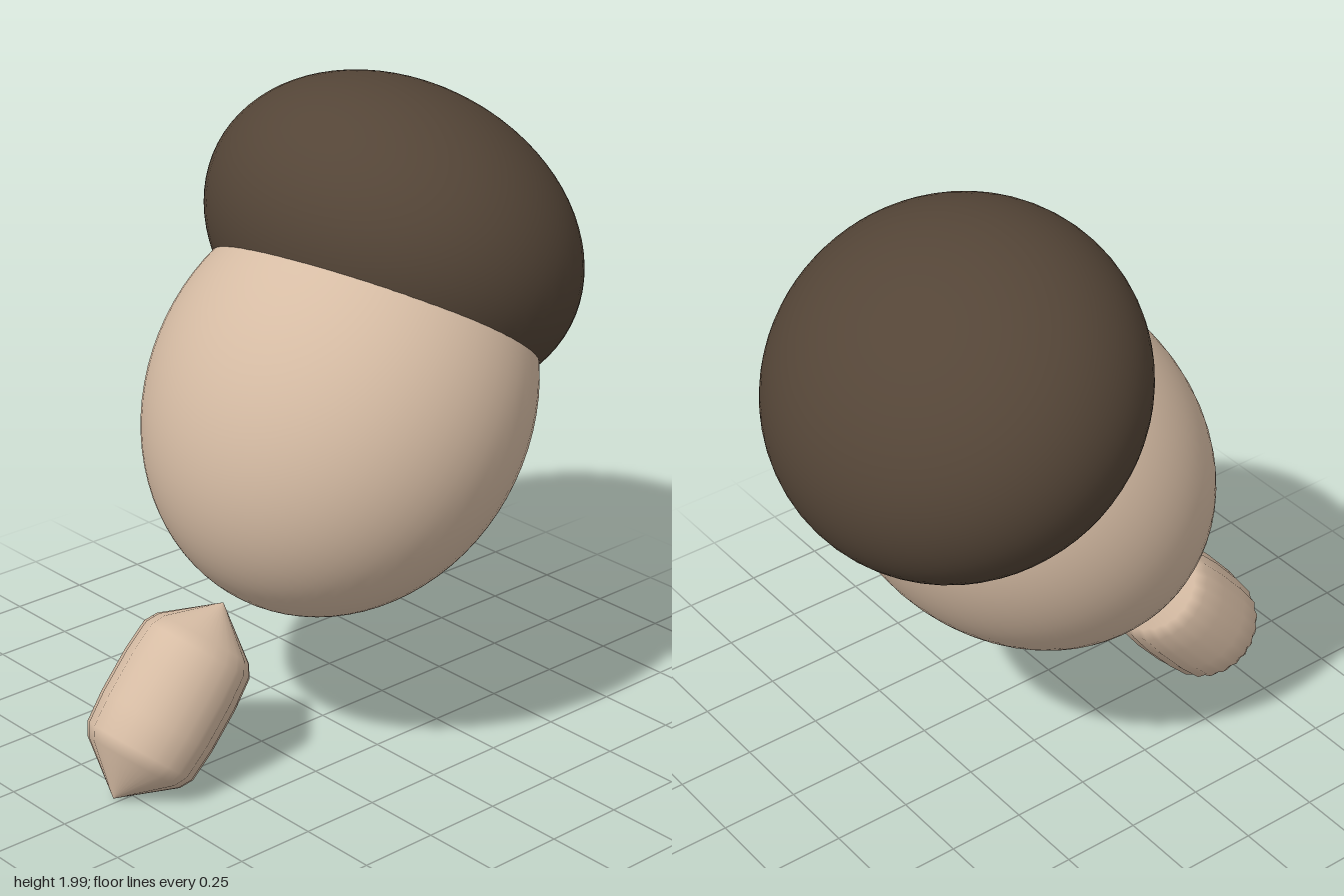
import * as THREE from 'three';

const mat = (name, color) => {
  const m = new THREE.MeshStandardMaterial({ color });
  m.name = name;
  return m;
};

export function createModel() {
  const model = new THREE.Group();
  model.name = 'acorn';
  const tan = mat('tan', 0xd6bca4);
  const brown = mat('dark brown', 0x544537);

  // Smooth tilted ellipsoid
  const ellipsoid = (name, material, centre, radii, tilt, turn = 0) => {
    const mesh = new THREE.Mesh(new THREE.SphereGeometry(1, 64, 40), material);
    mesh.name = name;
    mesh.position.set(...centre);
    mesh.scale.set(...radii);
    mesh.rotation.set(0, turn, tilt, 'YXZ');
    model.add(mesh);
  };
  ellipsoid('nut', tan, [0.01, 1.08, 0.06], [0.537, 0.657, 0.6], -0.616);
  ellipsoid('cap', brown, [0.305, 1.505, -0.03], [0.567, 0.46, 0.63], -0.586, -0.15);

  // Fluted stem with pointed ends: every other column is pulled in slightly
  const half = [[0.152, 0.208], [0.174, 0.17], [0.182, 0.07]];
  const profile = [
    [0, -0.33], ...half.map(([r, y]) => [r, -y]),
    ...half.slice().reverse(), [0, 0.33],
  ].map(([r, y]) => new THREE.Vector2(r, y));
  const columns = 48;
  const stemGeometry = new THREE.LatheGeometry(profile, columns);
  const p = stemGeometry.attributes.position;
  for (let i = 0; i < p.count; i++) {
    const column = Math.floor(i / profile.length);
    const k = column % 2 ? 0.97 : 1.01;
    p.setXYZ(i, p.getX(i) * k, p.getY(i), p.getZ(i) * k * 1.03);
  }
  const stem = new THREE.Mesh(stemGeometry, tan);
  stem.name = 'stem';
  stem.position.set(-0.597, 0.264, -0.013);
  stem.rotation.z = -0.707;
  model.add(stem);

  return model;
}
